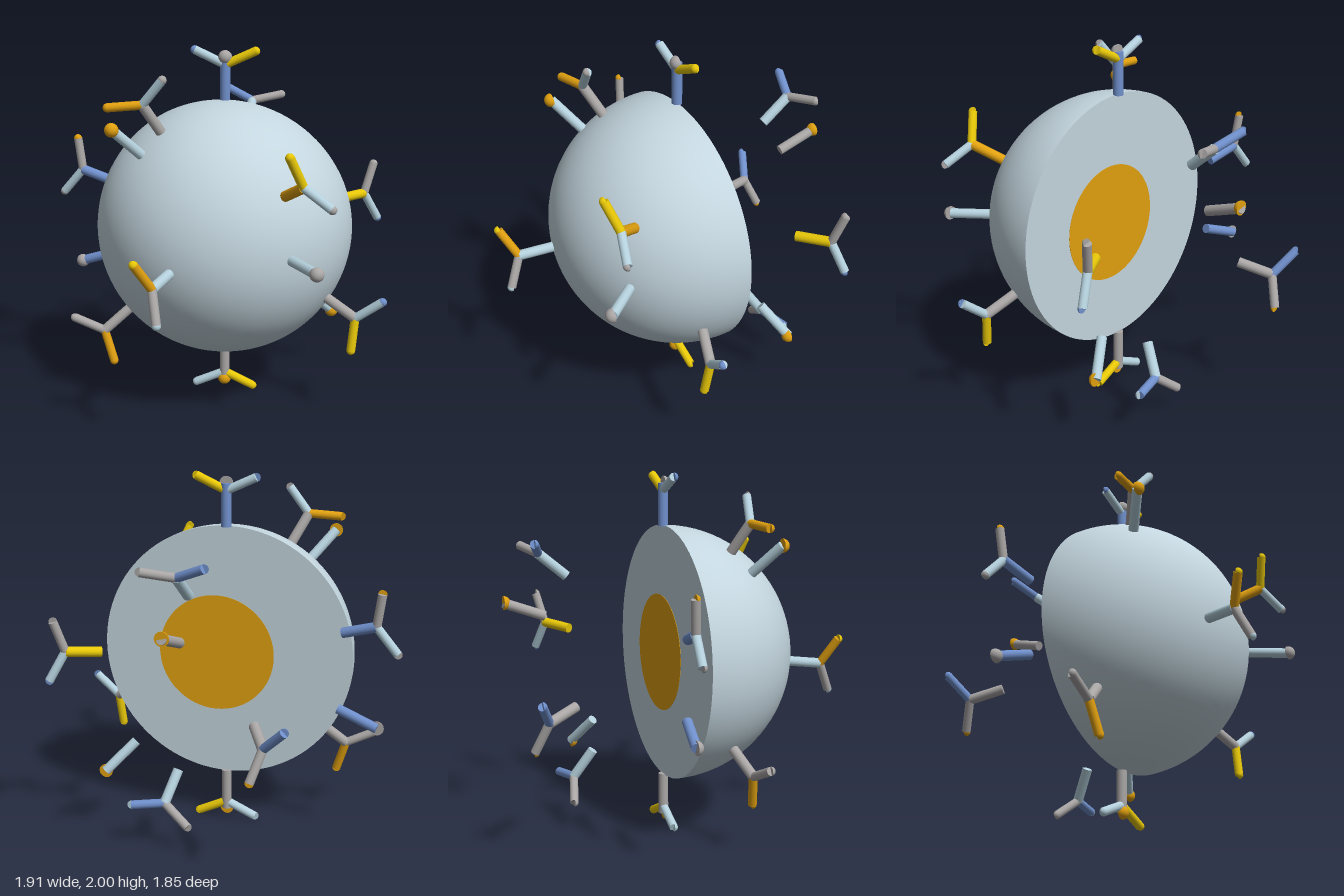
import * as THREE from 'three';
import { mergeGeometries } from 'three/addons/utils/BufferGeometryUtils.js';

const COLORS = {
  body: 0xc3d5de, gray: 0xaaa6a6, pale: 0xb4d0dc, blue: 0x7090cc, yellow: 0xe8c808, gold: 0xe0a010,
};
const materials = {};
for (const key in COLORS) {
  materials[key] = new THREE.MeshStandardMaterial();
  materials[key].color.set(COLORS[key]);
}

const RADIUS = 0.71;      // cell surface
const JOINT = 0.9;        // where the receptor arms fork
const BALL = 0.94;        // centre of the knob heads
const GOLDEN = Math.PI * (3 - Math.sqrt(5));

// [stem, right-hand arm, its tip, other arm, its tip]
const FORKS = [
  ['blue', 'yellow', 'yellow', 'pale', 'blue'],
  ['gray', 'pale', 'gray', 'gold', 'gold'],
  ['pale', 'gray', 'gray', 'blue', 'blue'],
  ['gold', 'pale', 'gray', 'yellow', 'yellow'],
  ['blue', 'gray', 'gold', 'pale', 'gray'],
  ['yellow', 'pale', 'blue', 'gray', 'gray'],
  ['pale', 'gold', 'yellow', 'gray', 'pale'],
  ['gray', 'blue', 'blue', 'gray', 'gold'],
  ['gray', 'yellow', 'yellow', 'pale', 'blue'],
  ['gray', 'gray', 'gray', 'gold', 'gold'],
  ['pale', 'gray', 'gray', 'blue', 'pale'],
  ['gray', 'pale', 'pale', 'yellow', 'yellow'],
];

// [stem, knob]
const KNOBS = [
  ['blue', 'gray'], ['pale', 'gold'], ['gray', 'gold'], ['pale', 'gray'],
  ['blue', 'gray'], ['pale', 'gold'], ['gray', 'gold'],
];

// Closed half ball: dome towards +z, flat face towards -z
function halfBall(r, w, h) {
  const dome = new THREE.SphereGeometry(r, w, h, 0, Math.PI);
  const face = new THREE.CircleGeometry(r, w * 2).rotateY(Math.PI);
  return mergeGeometries([dome, face]);
}

function addMesh(parent, name, geometry, color, position) {
  const mesh = new THREE.Mesh(geometry, materials[color]);
  mesh.name = name;
  if (position) mesh.position.copy(position);
  parent.add(mesh);
  return mesh;
}

// Round rod between two points
function addRod(parent, name, a, b, r, color) {
  const dir = b.clone().sub(a);
  const geometry = new THREE.CylinderGeometry(r, r, dir.length(), 20);
  const rod = addMesh(parent, name, geometry, color, a.clone().lerp(b, 0.5));
  rod.quaternion.setFromUnitVectors(new THREE.Vector3(0, 1, 0), dir.normalize());
}

// Evenly spread directions along a golden spiral from pole to pole
function spiral(i, n) {
  const y = 1 - (2 * i) / (n - 1);
  const r = Math.sqrt(Math.max(0, 1 - y * y));
  return new THREE.Vector3(Math.cos(i * GOLDEN) * r, y, Math.sin(i * GOLDEN) * r);
}

export function createModel() {
  const model = new THREE.Group();
  model.name = 'halvedCell';
  const cell = new THREE.Group();
  cell.name = 'cell';
  cell.position.set(0.035, 1.0, -0.035);
  model.add(cell);

  // Halved body with the cut nucleus showing on the flat back
  addMesh(cell, 'cellBody', halfBall(RADIUS, 48, 48), 'body');
  addMesh(cell, 'nucleus', halfBall(0.33, 32, 32), 'gold', new THREE.Vector3(0.06, -0.01, -0.002));

  // Forked receptors
  const tipGeometry = halfBall(0.024, 10, 12);
  FORKS.forEach(([stem, armA, tipA, armB, tipB], i) => {
    const receptor = new THREE.Group();
    receptor.name = 'forkedReceptor';
    cell.add(receptor);
    const d = spiral(i, FORKS.length);
    const joint = d.clone().multiplyScalar(JOINT);
    const side = new THREE.Vector3(d.y, -d.x, 0).normalize();
    addRod(receptor, 'stem', d.clone().multiplyScalar(RADIUS - 0.005), joint, 0.028, stem);
    [[1, armA, tipA], [-1, armB, tipB]].forEach(([s, arm, tip]) => {
      const end = joint.clone().addScaledVector(side, 0.165 * s).addScaledVector(d, 0.076);
      addRod(receptor, 'arm', joint, end, 0.024, arm);
      addMesh(receptor, 'armTip', tipGeometry, tip, end);
    });
  });

  // Knobbed receptors
  const knobGeometry = halfBall(0.038, 14, 16);
  KNOBS.forEach(([stem, knob], i) => {
    const receptor = new THREE.Group();
    receptor.name = 'knobbedReceptor';
    cell.add(receptor);
    const d = spiral(i, KNOBS.length);
    const end = d.clone().multiplyScalar(BALL);
    addRod(receptor, 'stem', d.clone().multiplyScalar(RADIUS - 0.005), end, 0.0275, stem);
    addMesh(receptor, 'knob', knobGeometry, knob, end);
  });

  return model;
}
